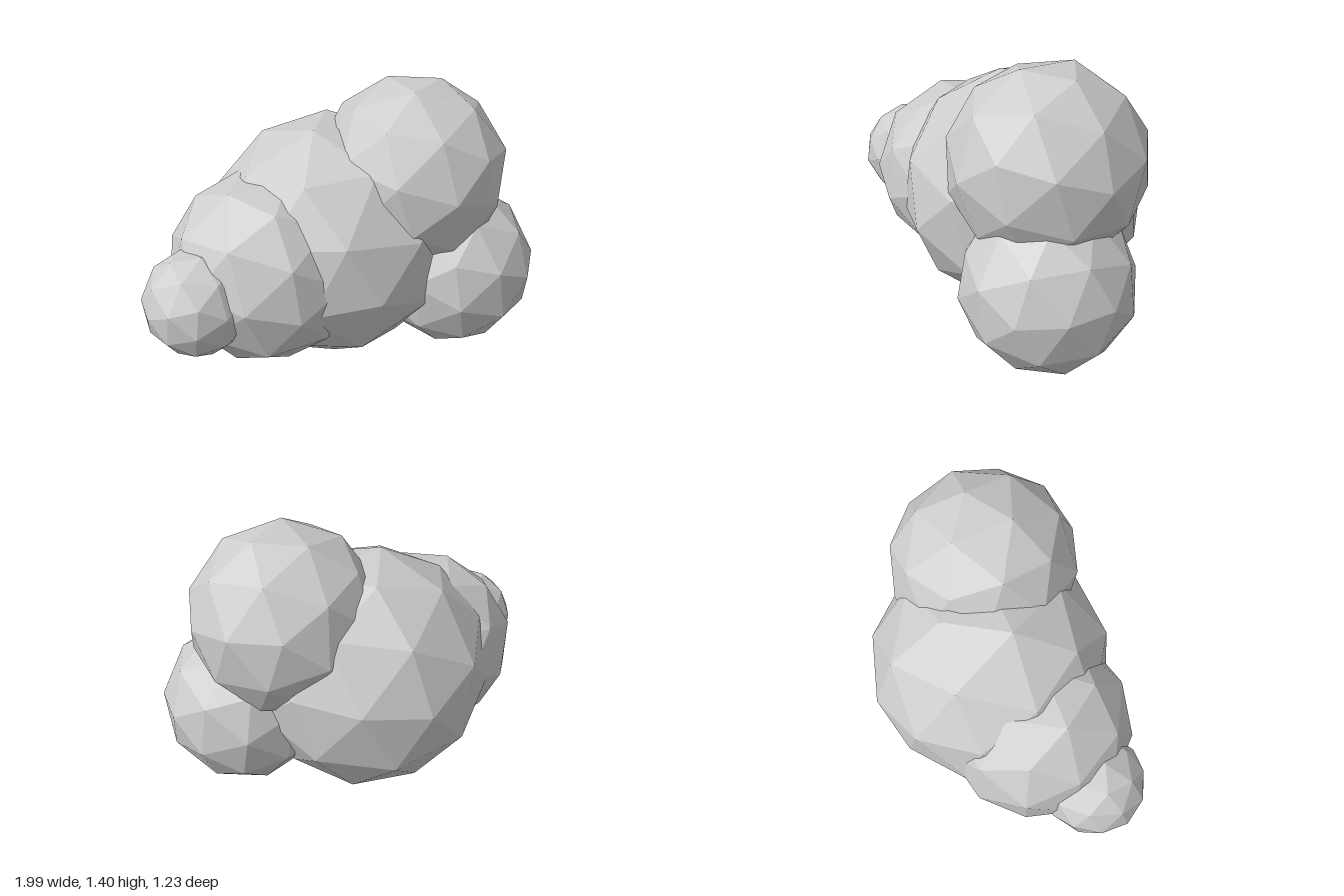
import * as THREE from 'three';

// Orthonormal frame from a main direction and a second direction beside it
function frame(main, beside) {
  const a = new THREE.Vector3(...main).normalize();
  const c = new THREE.Vector3().crossVectors(a, new THREE.Vector3(...beside)).normalize();
  const b = new THREE.Vector3().crossVectors(c, a);
  return new THREE.Matrix4().makeBasis(a, b, c);
}

// A five-edged corner of the icosphere and one of its neighbours
const PHI = (1 + Math.sqrt(5)) / 2;
const restInverse = frame([0, 1, PHI], [0, 0, 1]).transpose();

// Low-poly ball turned so that a five-edged corner points along hub and its neighbour towards near
function puff(name, material, center, radius, hub, near) {
  const geometry = new THREE.IcosahedronGeometry(radius, 1);
  geometry.applyMatrix4(frame(hub, near).multiply(restInverse));
  geometry.computeVertexNormals(); // unshared corners give flat facets
  const mesh = new THREE.Mesh(geometry, material);
  mesh.name = name;
  mesh.position.set(...center);
  return mesh;
}

export function createModel() {
  const cloudGrey = new THREE.MeshStandardMaterial({ color: 0xcccccc });
  cloudGrey.name = 'cloud grey';

  const cloud = new THREE.Group();
  cloud.name = 'cloud';
  cloud.add(
    puff('mainPuff', cloudGrey, [0, 0.61, 0], 0.62, [-0.05, 0.06, -0.6], [0, 0.36, -0.49]),
    puff('topPuff', cloudGrey, [0.39, 0.945, 0.09], 0.475, [0.15, 0.435, -0.04], [-0.04, 0.455, -0.16]),
    puff('leftPuff', cloudGrey, [0.59, 0.44, 0.2], 0.42, [0.405, 0.07, -0.1], [0.385, -0.12, -0.03]),
    puff('rightPuff', cloudGrey, [-0.375, 0.57, 0.13], 0.48, [0.04, -0.05, 0.48], [-0.25, 0.03, 0.4]),
    puff('smallPuff', cloudGrey, [-0.745, 0.54, 0.3], 0.26, [-0.25, 0.01, 0.09], [-0.16, 0.19, 0.03])
  );
  return cloud;
}
